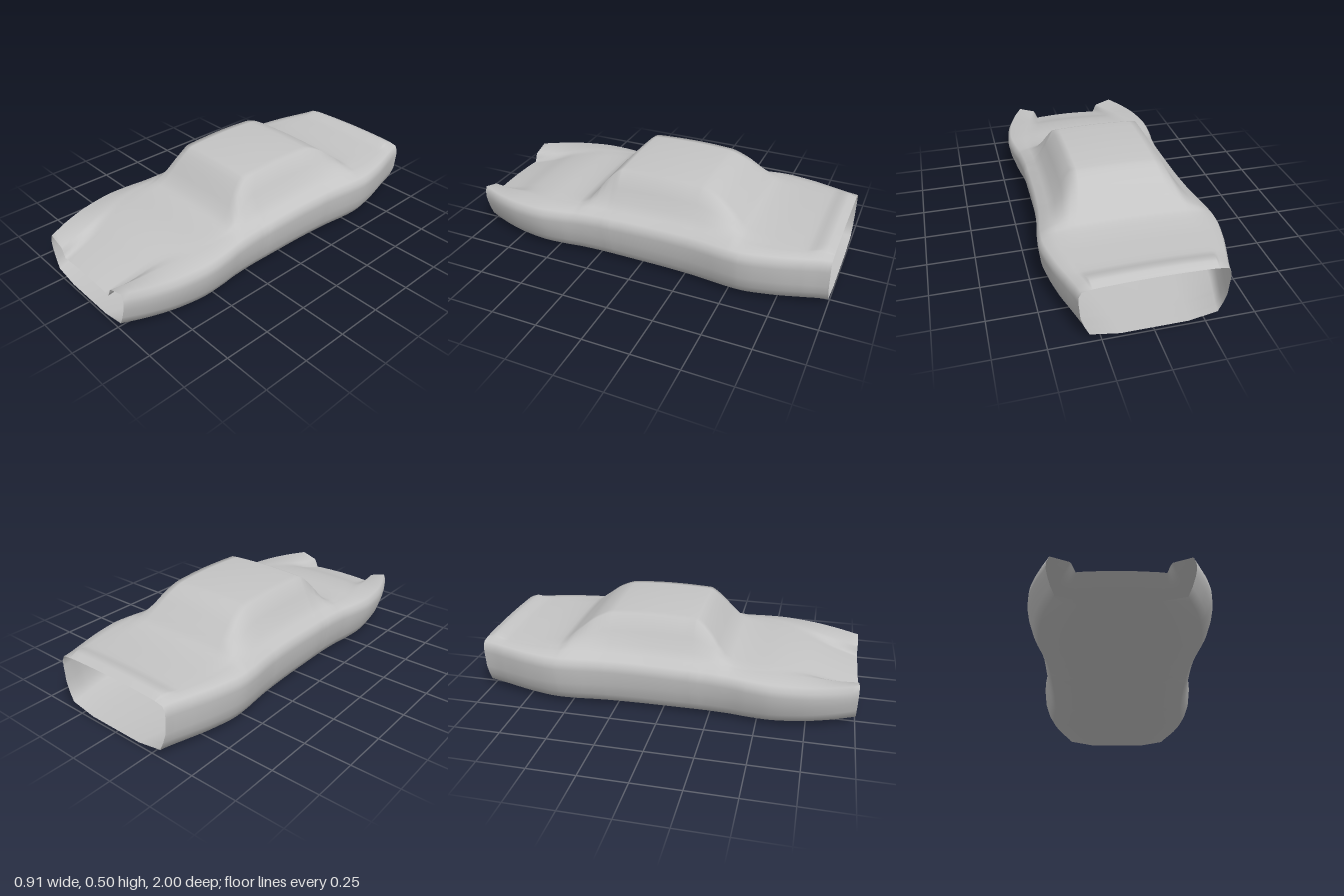
import * as THREE from 'three';

// Body stations, back to front: z, half width, top edge x, centre line y
const stations = [
  [-1.00, .355, .290, .312],
  [-0.95, .366, .295, .330],
  [-0.87, .390, .305, .312],
  [-0.72, .432, .310, .313],
  [-0.57, .455, .305, .326],
  [-0.48, .448, .275, .388],
  [-0.38, .433, .250, .462],
  [-0.29, .422, .240, .496],
  [-0.08, .411, .240, .505],
  [0.15, .409, .240, .497],
  [0.20, .409, .246, .464],
  [0.35, .418, .300, .304],
  [0.45, .434, .295, .289],
  [0.57, .445, .270, .282],
  [0.72, .427, .238, .257],
  [0.86, .386, .212, .209],
  [1.00, .323, .195, .170],
];

// Monotone cubic blend of one station column, free of overshoot
function blend(col, z) {
  const last = stations.length - 1;
  let k = 0;
  while (k < last - 1 && z > stations[k + 1][0]) k++;
  const step = i => stations[i + 1][0] - stations[i][0];
  const rise = i => (stations[i + 1][col] - stations[i][col]) / step(i);
  const slope = i => {
    if (i === 0) return rise(0);
    if (i === last) return rise(last - 1);
    const a = rise(i - 1), b = rise(i);
    return a * b <= 0 ? 0 : 2 * a * b / (a + b);
  };
  const h = step(k), t = (z - stations[k][0]) / h, t2 = t * t, t3 = t2 * t;
  return (2 * t3 - 3 * t2 + 1) * stations[k][col] + (t3 - 2 * t2 + t) * h * slope(k)
    + (3 * t2 - 2 * t3) * stations[k + 1][col] + (t3 - t2) * h * slope(k + 1);
}

// Closed cross-section: floor centre, up the left flank, over the top, mirrored down
function section(z) {
  const [w, edgeX, top] = [1, 2, 3].map(col => blend(col, z));
  const edgeY = top - .009;
  // The floor curves up at both ends, the shoulder line drops towards the nose
  const floor = .019 * z * z;
  const shoulder = .276 - .027 * z - .009 * z * z;
  // The foot of the cabin sits above the shoulder, the hood edge sinks below it
  const baseX = w * (.85 - .17 * THREE.MathUtils.smoothstep(z, .3, .85));
  const baseY = shoulder + THREE.MathUtils.clamp((top - shoulder) * .4, -.03, .025);
  const pillar = (tx, ty) => [baseX + (edgeX - baseX) * tx, baseY + (edgeY - baseY) * ty];
  const half = [
    [0, floor],
    [w * .46, floor],
    [w * .865, floor + .026],
    [w * .93, floor + .075],
    [w * .978, .145],
    [w, shoulder - .06],
    [w * .998, shoulder - .028],
    [w * .96, shoulder],
    [baseX, baseY],
    pillar(.3, .22),
    pillar(.6, .54),
    [edgeX, edgeY],
    [edgeX * .85, top - .006],
    [edgeX * .45, top - .002],
    [0, top],
  ];
  const mirrored = half.slice(1, -1).reverse().map(([x, y]) => [-x, y]);
  return [...half, ...mirrored];
}

// Skin stretched over the sections, open at nose and tail
function bodyShell() {
  const zs = [];
  for (let k = 0; k < stations.length - 1; k++) {
    for (let s = 0; s < 4; s++) {
      zs.push(THREE.MathUtils.lerp(stations[k][0], stations[k + 1][0], s / 4));
    }
  }
  zs.push(1);
  const positions = [], index = [];
  zs.forEach((z, j) => {
    const ring = section(z), n = ring.length;
    ring.forEach(([x, y], i) => {
      positions.push(x, y, z);
      if (j === zs.length - 1) return;
      const a = j * n + i, b = j * n + (i + 1) % n;
      index.push(a, b, a + n, b, b + n, a + n);
    });
  });
  const geometry = new THREE.BufferGeometry();
  geometry.setAttribute('position', new THREE.Float32BufferAttribute(positions, 3));
  geometry.setIndex(index);
  geometry.computeVertexNormals();
  return geometry;
}

export function createModel() {
  const paint = new THREE.MeshStandardMaterial({ color: 0xc4c4c4, side: THREE.DoubleSide });
  paint.name = 'light grey';
  const group = new THREE.Group();
  group.name = 'carBody';
  const shell = new THREE.Mesh(bodyShell(), paint);
  shell.name = 'bodyShell';
  group.add(shell);
  return group;
}
